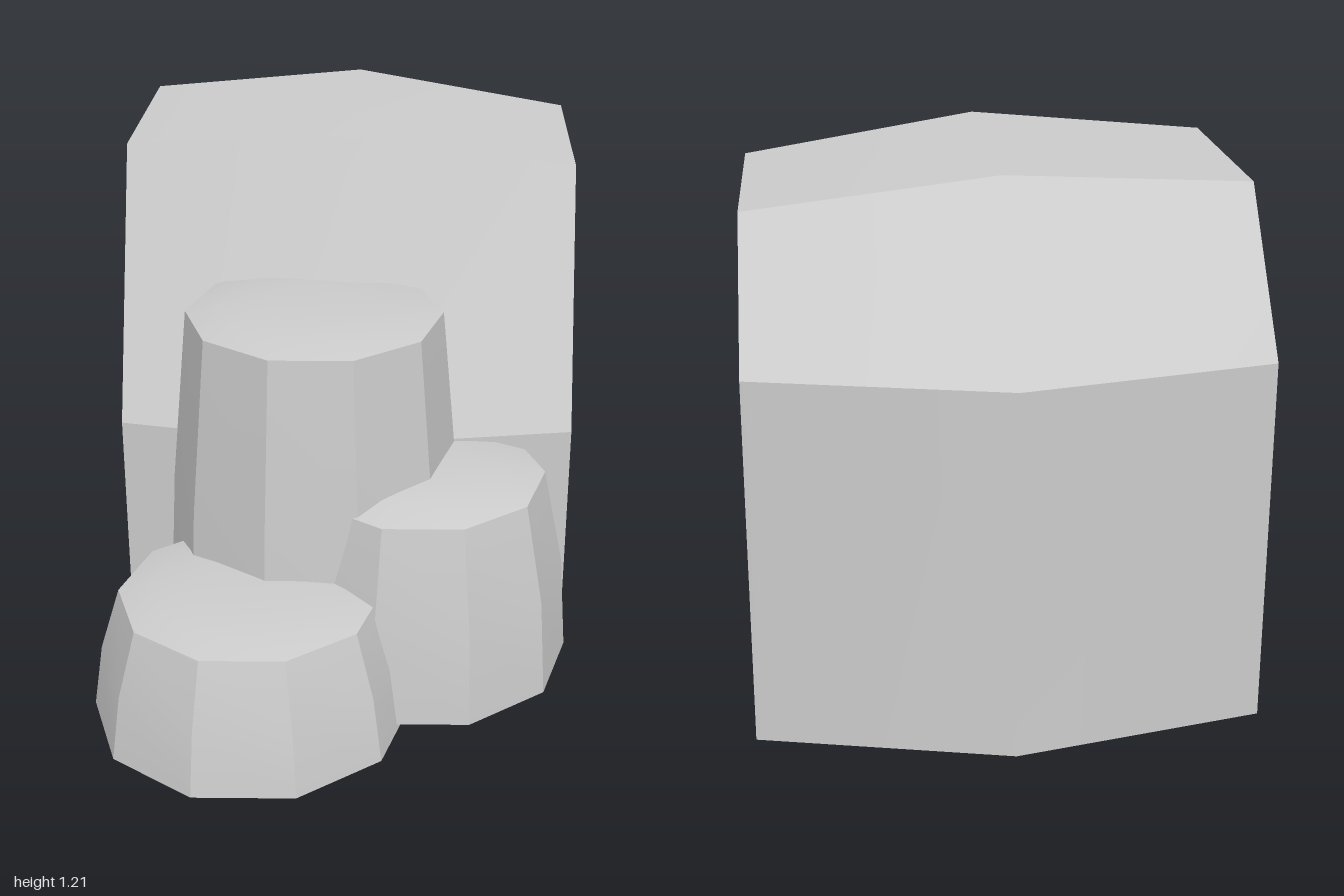
import * as THREE from 'three';
import { toCreasedNormals } from 'three/addons/utils/BufferGeometryUtils.js';

const material = new THREE.MeshStandardMaterial({ color: 0xcccccc });
const openMaterial = new THREE.MeshStandardMaterial({ color: 0xcccccc, side: THREE.DoubleSide });

// Joins closed [z, y] outlines placed at x; each side is smooth along x and sharp to its neighbours.
function loft(sections) {
  const pos = [], index = [];
  const n = sections[0].outline.length;
  for (let i = 0; i < n; i++) {
    const base = pos.length / 3;
    for (const { x, outline } of sections) {
      for (const [z, y] of [outline[i], outline[(i + 1) % n]]) pos.push(x, y, z);
    }
    for (let s = 0; s < sections.length - 1; s++) {
      const a = base + s * 2;
      index.push(a, a + 2, a + 3, a, a + 3, a + 1);
    }
  }
  const g = new THREE.BufferGeometry();
  g.setAttribute('position', new THREE.Float32BufferAttribute(pos, 3));
  g.setIndex(index);
  g.computeVertexNormals();
  return g;
}

// Flat wall facing +x (side 1) or -x (side -1), with an optional hole.
function wall(x, outline, side, hole) {
  const points = (o) => o.map(([z, y]) => new THREE.Vector2(-side * z, y));
  const shape = new THREE.Shape(points(outline));
  if (hole) shape.holes.push(new THREE.Path(points(hole)));
  return new THREE.ShapeGeometry(shape).rotateY(side * Math.PI / 2).translate(x, 0, 0);
}

// Ten-sided tapering boulder with a shallow domed top and an open base.
function boulder(bottom, rim, top, baseR, midR, rimR) {
  const profile = [
    [baseR, bottom], [midR, (bottom + rim) / 2], [rimR, rim],
    [rimR * 0.74, rim + (top - rim) * 0.65], [rimR * 0.4, rim + (top - rim) * 0.95], [0, top],
  ].map(([r, y]) => new THREE.Vector2(r, y));
  const g = new THREE.LatheGeometry(profile, 10, THREE.MathUtils.degToRad(20));
  return toCreasedNormals(g, 0.5);
}

export function createModel() {
  const model = new THREE.Group();
  const add = (parent, name, geometry, mat = material) => {
    const mesh = new THREE.Mesh(geometry, mat);
    mesh.name = name;
    parent.add(mesh);
    return mesh;
  };

  // Shelter body: bulges at the middle, left end a little taller than the right
  const endOutline = (top) => [[0.23, 0.02], [0.23, 0.535], [-0.045, top], [-0.605, top], [-0.88, 0.85], [-0.88, 0.02]];
  const left = endOutline(1.13), right = endOutline(1.17);
  const middle = [[0.33, 0.02], [0.33, 0.535], [0.01, 1.21], [-0.66, 1.21], [-1, 0.85], [-1, 0.02]];
  const panel = [[0.155, 0.1], [0.155, 0.54], [-0.08, 1.05], [-0.56, 1.05], [-0.8, 0.81], [-0.8, 0.1]];
  const xL = 0.56, xR = -0.55, xPanel = 0.49;

  const body = new THREE.Group();
  body.name = 'body';
  model.add(body);
  add(body, 'shell', loft([
    { x: xR, outline: right }, { x: 0.005, outline: middle }, { x: xL, outline: left },
  ]));
  add(body, 'plainEnd', wall(xR, right, -1));

  // Recessed panel in the other end
  add(body, 'panelFrame', wall(xL, left, 1, panel));
  add(body, 'panelRecess', loft([{ x: xL, outline: panel }, { x: xPanel, outline: panel }]));
  add(body, 'panel', wall(xPanel, panel, 1));

  // Boulders clustered at the front
  const boulders = [
    ['lowBoulder', -0.195, 0.64, [0, 0.31, 0.337, 0.375, 0.352, 0.305]],
    ['middleBoulder', 0.19, 0.378, [0.015, 0.495, 0.533, 0.368, 0.35, 0.3]],
    ['tallBoulder', -0.065, 0.3, [0.01, 0.87, 0.895, 0.37, 0.346, 0.305]],
  ];
  for (const [name, x, z, sizes] of boulders) {
    add(model, name, boulder(...sizes), openMaterial).position.set(x, 0, z);
  }
  return model;
}
